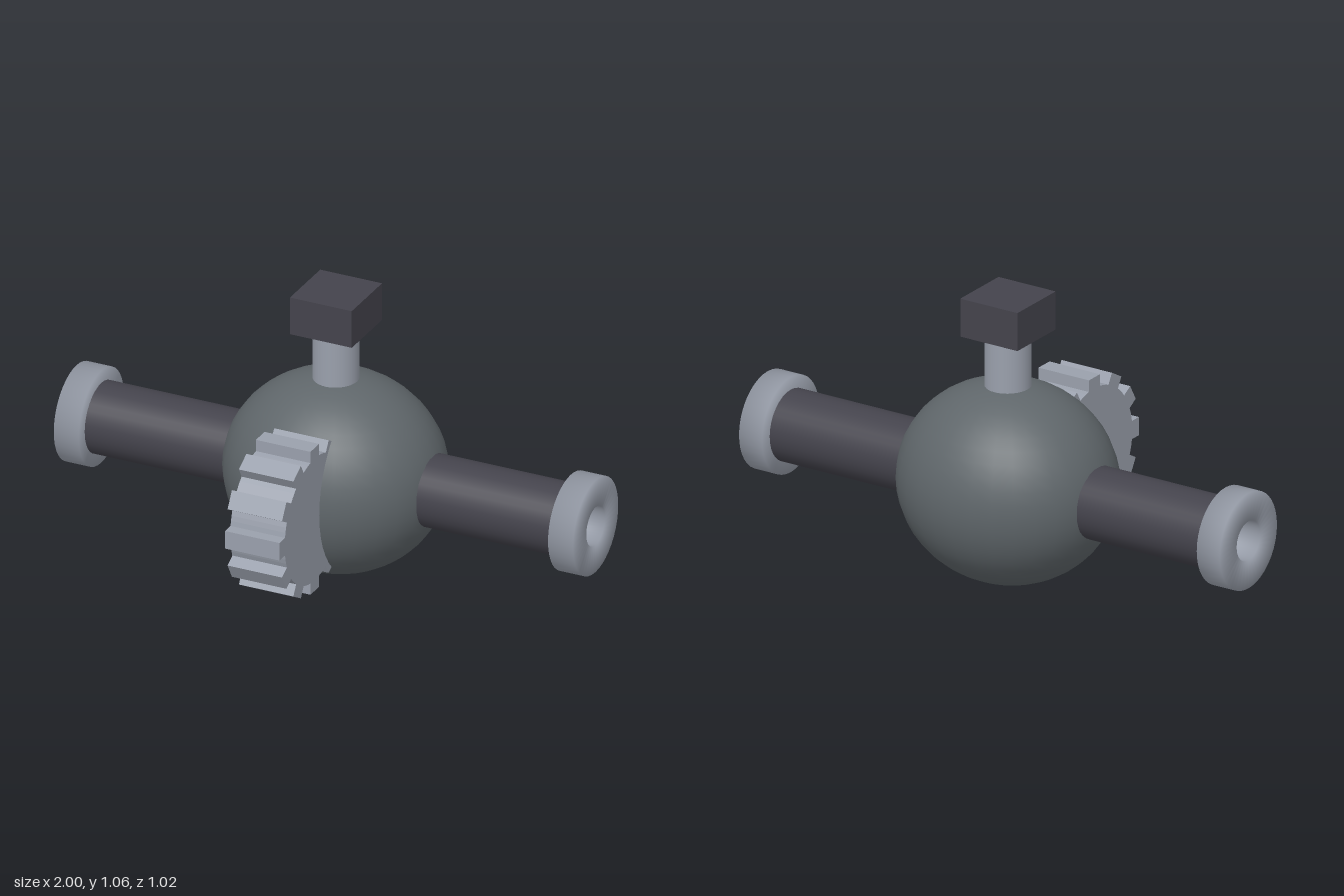
import * as THREE from 'three';

const CY = 0.366; // height of the main axis
const CZ = -0.146; // depth of the body centre

export function createModel() {
  const model = new THREE.Group();
  const bodyGrey = new THREE.MeshStandardMaterial({ color: 0x5f666a });
  const lightMetal = new THREE.MeshStandardMaterial({ color: 0x9aa0ac });
  const darkMetal = new THREE.MeshStandardMaterial({ color: 0x44434c });
  bodyGrey.name = 'bodyGrey';
  lightMetal.name = 'lightMetal';
  darkMetal.name = 'darkMetal';

  const add = (name, geometry, material, x, y, z) => {
    const mesh = new THREE.Mesh(geometry, material);
    mesh.name = name;
    mesh.position.set(x, y, z);
    model.add(mesh);
    return mesh;
  };

  // Body: a sphere stretched slightly along x
  const ball = new THREE.SphereGeometry(1, 32, 24).scale(0.402, 0.365, 0.36);
  add('body', ball, bodyGrey, 0, CY, CZ);

  // Side pipes with ring-shaped end flanges
  const pipe = new THREE.CylinderGeometry(0.131, 0.131, 0.605, 32).rotateZ(-Math.PI / 2);
  const ringProfile = [
    [0.073, -0.048], [0.178, -0.048], [0.178, 0.048], [0.073, 0.048], [0.073, -0.048],
  ].map(([r, h]) => new THREE.Vector2(r, h));
  const flange = new THREE.LatheGeometry(ringProfile, 40).rotateZ(-Math.PI / 2);
  for (const [side, s] of [['left', 1], ['right', -1]]) {
    add(side + 'Pipe', pipe, darkMetal, s * 0.6025, CY, CZ);
    const ring = add(side + 'Flange', flange, lightMetal, s * 0.952, CY, CZ);
    if (s < 0) ring.rotation.y = Math.PI;
  }

  // Stem and square cap on top
  add('stem', new THREE.CylinderGeometry(0.082, 0.082, 0.32, 32), lightMetal, 0, 0.76, CZ);
  add('topCap', new THREE.BoxGeometry(0.238, 0.142, 0.238), darkMetal, 0, 0.986, CZ);

  // Gear wheel: one outline with twelve square teeth, extruded along x
  const TEETH = 12, ROOT = 0.236, TIP = 0.277, HALF = 0.034;
  const outline = [];
  const rootEdge = Math.asin(HALF / ROOT);
  const step = (Math.PI * 2) / TEETH;
  for (let i = 0; i < TEETH; i++) {
    const a = i * step;
    const point = (u, v) => outline.push(new THREE.Vector2(
      u * Math.cos(a) - v * Math.sin(a), u * Math.sin(a) + v * Math.cos(a)));
    const base = ROOT * Math.cos(rootEdge);
    point(base, -HALF);
    point(TIP, -HALF);
    point(TIP, HALF);
    point(base, HALF);
    // rounded root up to the next tooth
    for (const t of [1 / 3, 2 / 3]) {
      const b = rootEdge + t * (step - 2 * rootEdge);
      point(ROOT * Math.cos(b), ROOT * Math.sin(b));
    }
  }
  const gear = new THREE.ExtrudeGeometry(new THREE.Shape(outline), { depth: 0.21, bevelEnabled: false });
  gear.translate(0, 0, -0.105).rotateY(Math.PI / 2);
  add('gear', gear, lightMetal, 0, CY, 0.235);

  return model;
}
